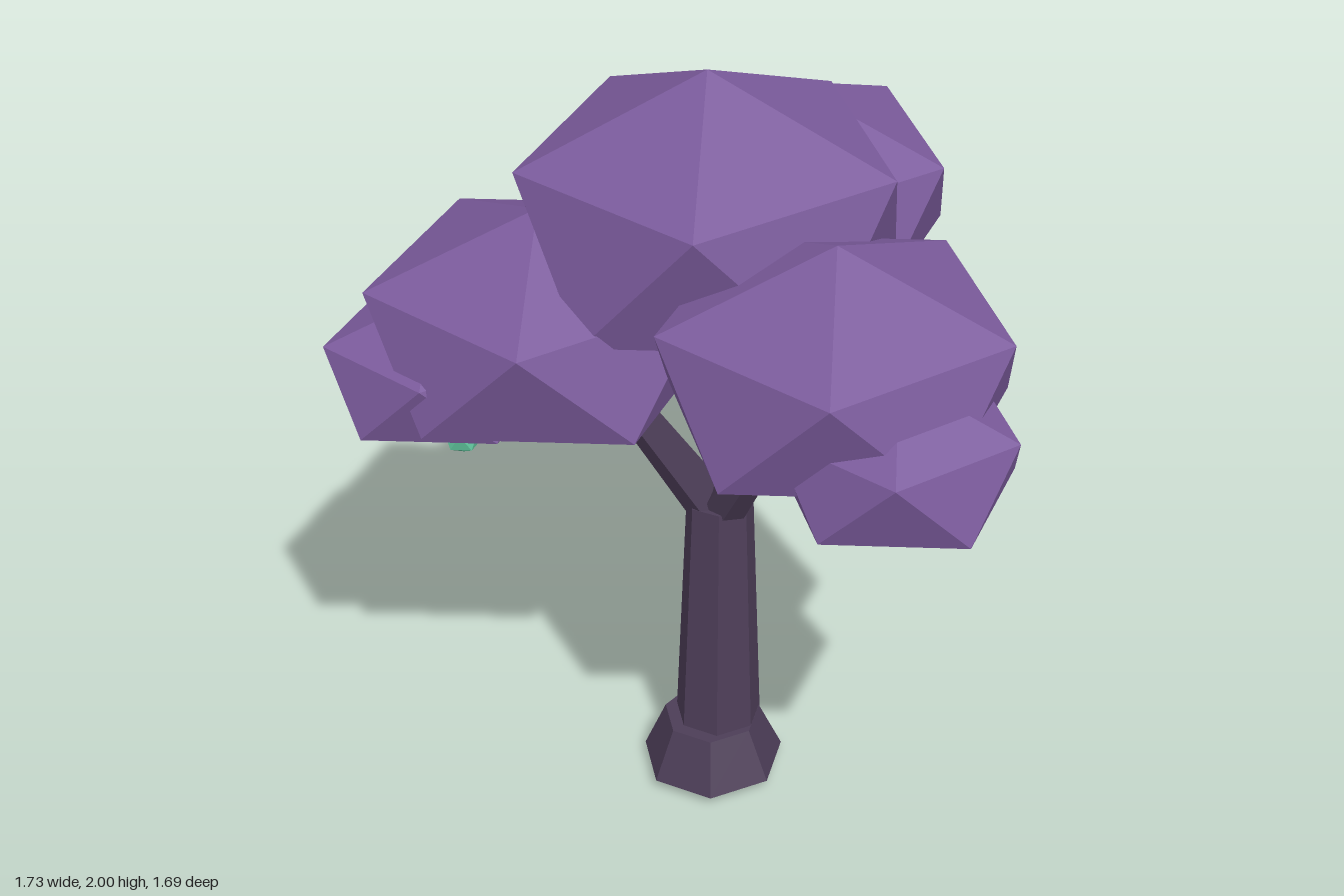
import * as THREE from 'three';
import { ConvexGeometry } from 'three/addons/geometries/ConvexGeometry.js';

const material = (name, color) => {
  const m = new THREE.MeshStandardMaterial({ color, flatShading: true });
  m.name = name;
  return m;
};

// Icosahedron standing on a vertex: two poles and two staggered rings of five
function standingIcosahedron() {
  const y = 1 / Math.sqrt(5), r = 2 * y;
  const points = [new THREE.Vector3(0, 1, 0), new THREE.Vector3(0, -1, 0)];
  for (let i = 0; i < 5; i++) {
    const a = (i * 2 * Math.PI) / 5, b = a + Math.PI / 5;
    points.push(new THREE.Vector3(r * Math.cos(a), y, r * Math.sin(a)));
    points.push(new THREE.Vector3(r * Math.cos(b), -y, r * Math.sin(b)));
  }
  return new ConvexGeometry(points);
}

export function createModel() {
  const tree = new THREE.Group();
  tree.name = 'tree';
  const leaf = material('purple leaves', 0x7b5b9c);
  const bark = material('dark bark', 0x4c3d57);
  const fruit = material('green fruit', 0x5fc49c);
  const ball = standingIcosahedron();

  const add = (name, geometry, mat) => {
    const mesh = new THREE.Mesh(geometry, mat);
    mesh.name = name;
    tree.add(mesh);
    return mesh;
  };

  // Tapered round bar between two points
  const limb = (name, from, to, r0, r1, sides) => {
    const a = new THREE.Vector3(...from), b = new THREE.Vector3(...to);
    const dir = b.clone().sub(a);
    const mesh = add(name, new THREE.CylinderGeometry(r1, r0, dir.length(), sides), bark);
    mesh.position.copy(a).add(b).multiplyScalar(0.5);
    mesh.quaternion.setFromUnitVectors(new THREE.Vector3(0, 1, 0), dir.normalize());
  };

  // Leaning trunk and flared foot
  limb('trunk', [-0.168, 0.011, -0.105], [-0.105, 0.81, -0.135], 0.119, 0.087, 7);
  const foot = add('trunkFlare', new THREE.CylinderGeometry(0.127, 0.187, 0.14, 7), bark);
  foot.position.set(-0.176, 0.1, -0.115);

  // Three bent branches: start, elbow, end
  const branches = [
    ['right', [-0.09, 0.79, -0.14], [0.14, 1.13, -0.21], [0.34, 1.33, -0.28]],
    ['front', [-0.11, 0.79, -0.12], [-0.17, 1.14, 0.1], [-0.25, 1.32, 0.32]],
    ['back', [-0.12, 0.79, -0.15], [-0.27, 1.12, -0.28], [-0.39, 1.28, -0.4]],
  ];
  for (const [side, start, elbow, end] of branches) {
    limb(side + 'LowerBranch', start, elbow, 0.06, 0.043, 6);
    limb(side + 'UpperBranch', elbow, end, 0.043, 0.03, 6);
  }

  // Leaf clumps: x, y, z, horizontal radius, vertical radius
  const clumps = [
    ['crownLeaves', -0.11, 1.638, -0.145, 0.515, 0.362],
    ['frontLeaves', -0.265, 1.485, 0.353, 0.463, 0.3],
    ['rightLeaves', 0.363, 1.452, -0.287, 0.458, 0.3],
    ['backLeaves', -0.411, 1.384, -0.415, 0.47, 0.294],
    ['rightSmallLeaves', 0.598, 1.348, -0.357, 0.296, 0.185],
    ['frontSmallLeaves', -0.336, 1.373, 0.579, 0.313, 0.2],
    ['backSmallLeaves', -0.592, 1.28, -0.588, 0.307, 0.19],
  ];
  for (const [name, x, y, z, r, h] of clumps) {
    const mesh = add(name, ball, leaf);
    mesh.position.set(x, y, z);
    mesh.scale.set(r, h, r);
  }

  // Hanging fruit
  const fruits = [[-0.57, 1.07, -0.56], [-0.33, 1.175, 0.555], [0.553, 1.137, -0.34]];
  for (const p of fruits) {
    const mesh = add('fruit', ball, fruit);
    mesh.position.set(...p);
    mesh.scale.setScalar(0.05);
  }
  return tree;
}
